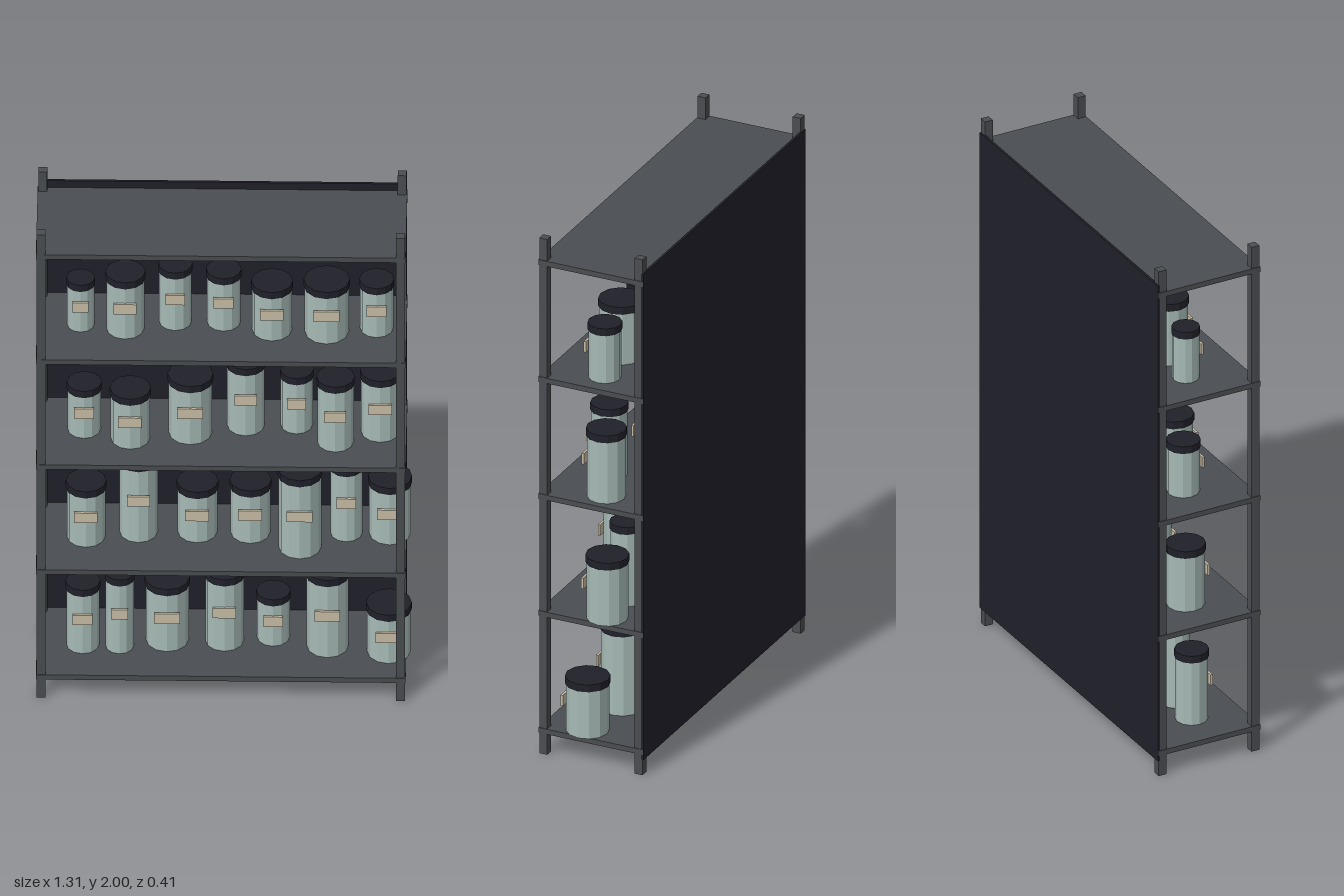
import * as THREE from 'three';

const mat = (name, color, flatShading = false) => {
  const m = new THREE.MeshStandardMaterial({ color, flatShading });
  m.name = name;
  return m;
};

export function createModel() {
  const root = new THREE.Group();
  root.name = 'storageShelf';

  const metal = mat('greyMetal', 0x4a4d51);
  const dark = mat('darkPanel', 0x20202a);
  const lidMat = mat('darkLid', 0x20202a, true);
  const glass = mat('paleGreenJar', 0xa6bab6, true);
  const paper = mat('creamLabel', 0xc8bda6);

  const add = (parent, name, geometry, material, x, y, z) => {
    const mesh = new THREE.Mesh(geometry, material);
    mesh.name = name;
    mesh.position.set(x, y, z);
    parent.add(mesh);
    return mesh;
  };

  // Frame sits a little to the right because jars overhang its other end
  const cx = -0.01;
  const postGeo = new THREE.BoxGeometry(0.031, 2, 0.031);
  for (const sx of [-1, 1])
    for (const sz of [-1, 1])
      add(root, 'post', postGeo, metal, cx + sx * 0.627, 1, sz * 0.185);

  // Five shelf boards
  const shelfGeo = new THREE.BoxGeometry(1.29, 0.02, 0.406);
  const shelfY = i => 0.09 + i * 0.454;
  for (let i = 0; i < 5; i++) add(root, 'shelf', shelfGeo, metal, cx, shelfY(i), 0);

  // Back panel
  add(root, 'backPanel', new THREE.BoxGeometry(1.286, 1.885, 0.009), dark, cx, 1.0025, -0.2);

  // Jars per shelf, bottom to top: [x, z, lid radius, top height]
  const rows = [
    [[-0.494, 0.018, 0.061, 0.375], [-0.365, 0.025, 0.052, 0.42], [-0.2, -0.016, 0.079, 0.37],
     [0, -0.014, 0.071, 0.41], [0.17, -0.036, 0.06, 0.302], [0.36, 0.012, 0.077, 0.435],
     [0.574, 0.041, 0.08, 0.311]],
    [[-0.483, 0, 0.071, 0.795], [-0.3, -0.03, 0.07, 0.888], [-0.095, -0.035, 0.073, 0.773],
     [0.09, -0.034, 0.073, 0.782], [0.264, 0.049, 0.079, 0.894], [0.425, -0.036, 0.059, 0.863],
     [0.577, -0.037, 0.077, 0.8]],
    [[-0.49, -0.013, 0.061, 1.212], [-0.328, 0.038, 0.072, 1.226], [-0.119, 0, 0.08, 1.261],
     [0.074, -0.045, 0.069, 1.296], [0.251, -0.05, 0.059, 1.248], [0.388, 0.048, 0.067, 1.29],
     [0.544, -0.017, 0.072, 1.273]],
    [[-0.502, -0.01, 0.05, 1.665], [-0.346, 0.01, 0.07, 1.707], [-0.172, -0.034, 0.06, 1.712],
     [-0.003, -0.035, 0.062, 1.69], [0.166, 0.01, 0.073, 1.673], [0.357, 0.017, 0.081, 1.687],
     [0.531, -0.005, 0.061, 1.675]],
  ];

  const lidH = 0.028;
  const labelH = 0.042;
  rows.forEach((row, i) => {
    const base = shelfY(i) + 0.01;
    for (const [x, z, lidR, top] of row) {
      const jar = new THREE.Group();
      jar.name = 'jar';
      jar.position.set(x, base, z);
      root.add(jar);

      const h = top - base;
      const r = lidR * 0.95;
      const bodyH = h - lidH;
      add(jar, 'jarBody', new THREE.CylinderGeometry(r, r, bodyH, 12), glass, 0, bodyH / 2, 0);
      add(jar, 'jarLid', new THREE.CylinderGeometry(lidR, lidR, lidH, 12), lidMat, 0, h - lidH / 2, 0);
      // Flat label plate on the front of the jar
      add(jar, 'jarLabel', new THREE.BoxGeometry(r * 1.2, labelH, 0.009), paper, 0, h * 0.545, r + 0.003);
    }
  });

  return root;
}
